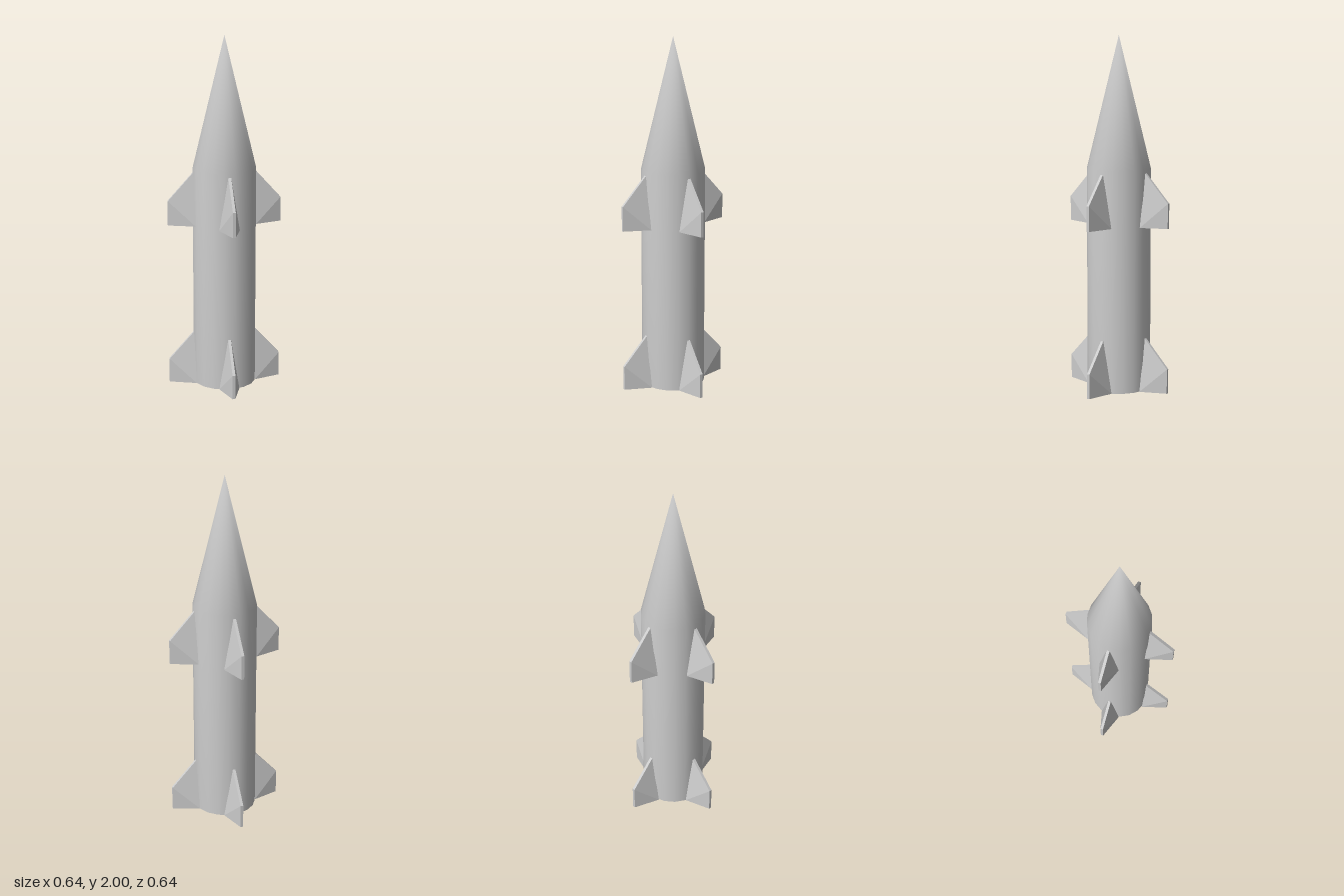
import * as THREE from 'three';
import { mergeVertices } from 'three/addons/utils/BufferGeometryUtils.js';
import { ConvexGeometry } from 'three/addons/geometries/ConvexGeometry.js';

const SIDES = 18;
const RADIUS = 0.18;
const SHOULDER = 1.26;

// Tube and pointed nose as one skin, smoothed over the shoulder and the tip
function hullGeometry() {
  const profile = [[RADIUS, 0], [RADIUS, SHOULDER], [0, 2]].map(([r, y]) => new THREE.Vector2(r, y));
  const lathe = new THREE.LatheGeometry(profile, SIDES);
  lathe.deleteAttribute('normal');
  lathe.deleteAttribute('uv');
  const skin = mergeVertices(lathe, 1e-4);
  skin.computeVertexNormals();
  return skin.rotateY(Math.PI / 2);
}

// Wedge fin pointing along +x: broad at the lower root, thin at the top and outer edge
function finGeometry() {
  const corners = [
    [0.172, 0, 0.058], // lower root
    [0.322, 0, 0.008], // lower tip
    [0.322, 0.14, 0.008], // upper tip
    [0.177, 0.3, 0.008], // upper root
  ];
  const points = corners.flatMap(([x, y, z]) => [new THREE.Vector3(x, y, z), new THREE.Vector3(x, y, -z)]);
  return new ConvexGeometry(points);
}

export function createModel() {
  const model = new THREE.Group();
  model.name = 'rocket';
  const grey = new THREE.MeshStandardMaterial({ color: 0xcccccc });

  const hull = new THREE.Mesh(hullGeometry(), grey);
  hull.name = 'hull';
  model.add(hull);

  // Flat disc closing the tail
  const base = new THREE.Mesh(new THREE.CircleGeometry(RADIUS, SIDES).rotateX(Math.PI / 2), grey);
  base.name = 'tailDisc';
  model.add(base);

  // Two rings of four fins
  const fin = finGeometry();
  for (const [name, y] of [['tailFin', 0], ['upperFin', 0.94]]) {
    const ring = new THREE.Group();
    ring.name = `${name}s`;
    ring.position.y = y;
    for (let i = 0; i < 4; i++) {
      const mesh = new THREE.Mesh(fin, grey);
      mesh.name = name;
      mesh.rotation.y = (i * Math.PI) / 2;
      ring.add(mesh);
    }
    model.add(ring);
  }
  return model;
}
